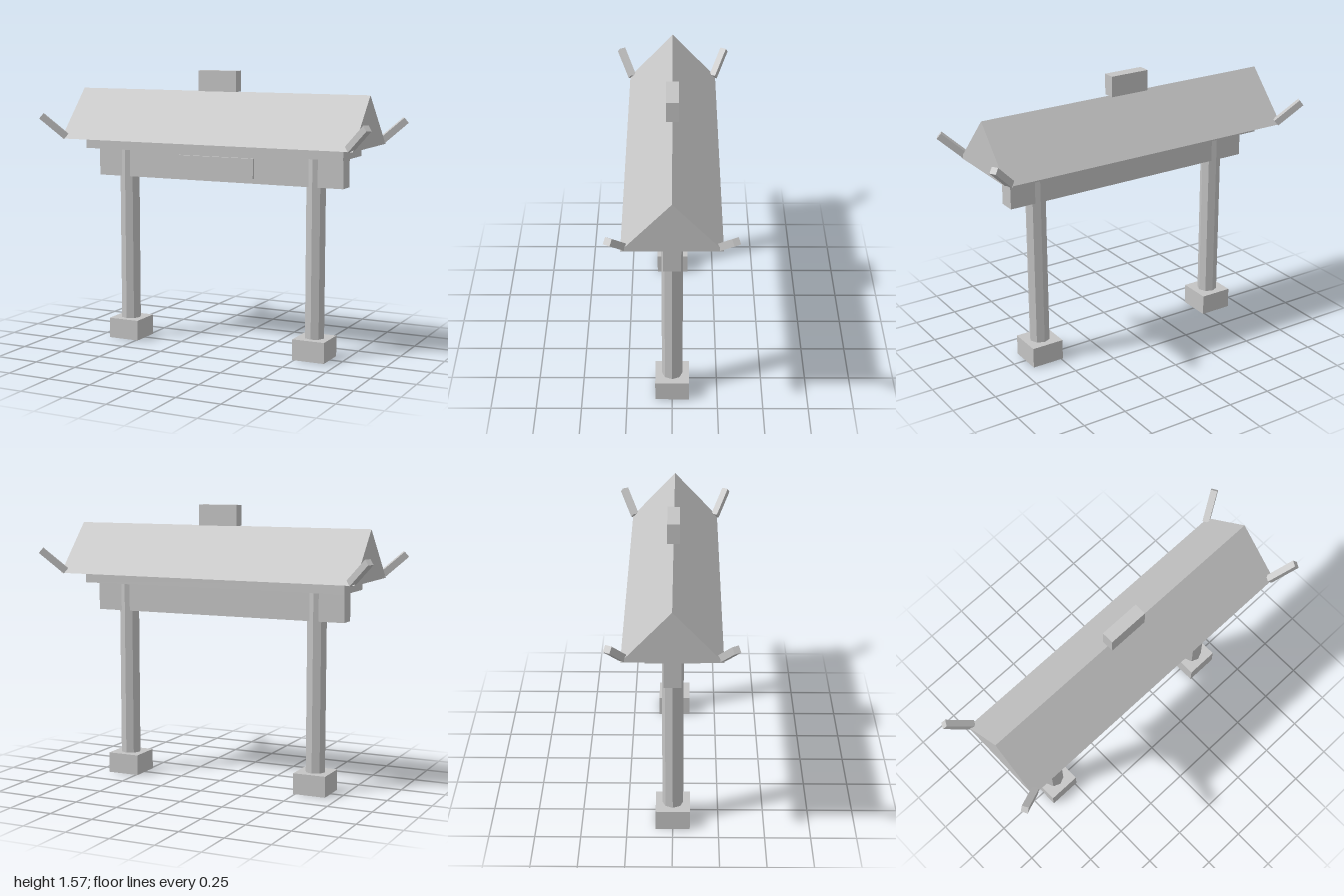
import * as THREE from 'three';

export function createModel() {
  const group = new THREE.Group();
  const stone = new THREE.MeshStandardMaterial({ color: 0xc4c4c4, side: THREE.DoubleSide, flatShading: true });
  stone.name = 'grey stone';

  const add = (name, geometry, x = 0, y = 0, z = 0) => {
    const mesh = new THREE.Mesh(geometry, stone);
    mesh.name = name;
    mesh.position.set(x, y, z);
    group.add(mesh);
    return mesh;
  };

  // Box standing on y0, hollow with no bottom face
  const openBox = (name, w, y0, y1, d, x = 0, z = 0) => {
    const geometry = new THREE.BoxGeometry(w, y1 - y0, d);
    const index = Array.from(geometry.index.array);
    index.splice(18, 6);
    geometry.setIndex(index);
    return add(name, geometry, x, (y0 + y1) / 2, z);
  };

  // Posts on square footings
  for (const side of [-1, 1]) {
    openBox('footing', 0.187, 0, 0.117, 0.187, side * 0.583);
    add('post', new THREE.CylinderGeometry(0.057, 0.057, 1.003, 8, 1, true), side * 0.583, 0.6185, 0);
  }

  // Crossbeam, front plaque, lintel slab and ridge block
  openBox('crossbeam', 1.514, 0.957, 1.12, 0.092);
  openBox('plaque', 0.466, 0.985, 1.097, 0.024, 0, 0.051);
  openBox('lintel', 1.58, 1.12, 1.18, 0.28);
  openBox('ridgeBlock', 0.23, 1.458, 1.573, 0.068);

  // Hollow gabled roof: two slopes and two gable ends, open underneath
  const hx = 0.885, hz = 0.255, eave = 1.18, ridge = 1.458;
  const roof = new THREE.BufferGeometry();
  const A = [-hx, eave, hz], B = [hx, eave, hz], C = [hx, eave, -hz], D = [-hx, eave, -hz];
  const L = [-hx, ridge, 0], R = [hx, ridge, 0];
  const corners = [A, B, R, A, R, L, C, D, L, C, L, R, B, C, R, D, A, L];
  roof.setAttribute('position', new THREE.Float32BufferAttribute(corners.flat(), 3));
  roof.computeVertexNormals();
  add('roof', roof);

  // Upturned bars at the four eave corners
  for (const sx of [-1, 1]) for (const sz of [-1, 1]) {
    const bar = add('eaveTip', new THREE.BoxGeometry(0.037, 0.037, 0.182), sx * 0.921, 1.251, sz * 0.276);
    bar.lookAt(sx * (0.921 + 0.122), 1.251 + 0.118, sz * (0.276 + 0.067));
  }
  return group;
}
